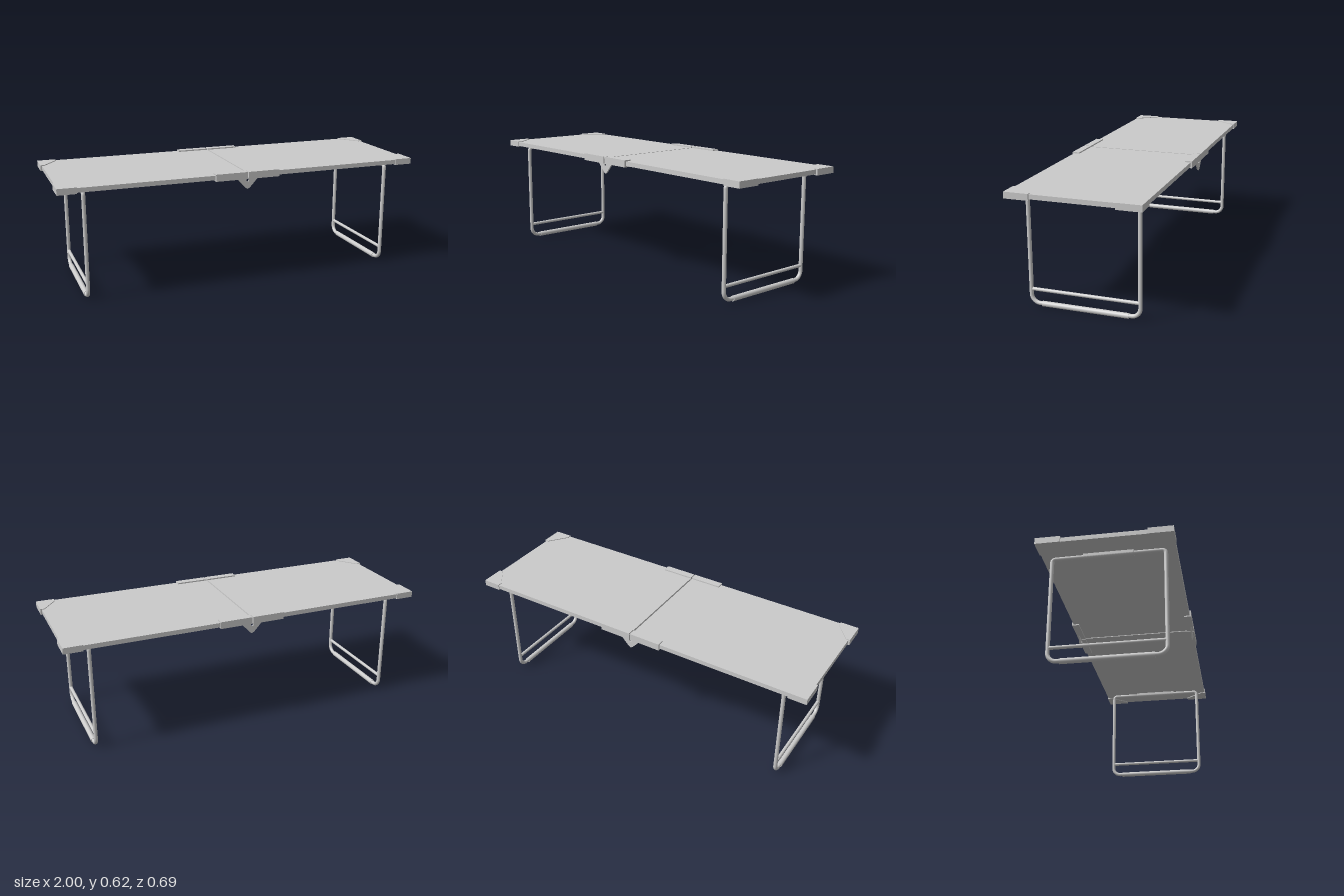
import * as THREE from 'three';

export function createModel() {
  const root = new THREE.Group();
  const mat = new THREE.MeshStandardMaterial({ color: 0xcccccc });

  const add = (name, geometry, x = 0, y = 0, z = 0, parent = root) => {
    const mesh = new THREE.Mesh(geometry, mat);
    mesh.name = name;
    mesh.position.set(x, y, z);
    parent.add(mesh);
    return mesh;
  };
  const polygon = pts => new THREE.Shape(pts.map(p => new THREE.Vector2(...p)));
  // flat plate from an x-z outline, top at y = 0
  const plate = (pts, depth) =>
    new THREE.ExtrudeGeometry(polygon(pts), { depth, bevelEnabled: false }).rotateX(Math.PI / 2);
  // rod along z
  const rod = (r, length) => new THREE.CylinderGeometry(r, r, length, 20).rotateX(Math.PI / 2);

  // closed loop in the y-z plane with rounded corners
  function legLoop(halfZ, y0, y1, rBottom, rTop) {
    const corners = [[halfZ, y0, rBottom], [halfZ, y1, rTop], [-halfZ, y1, rTop], [-halfZ, y0, rBottom]];
    const dirs = [[0, 1], [-1, 0], [0, -1], [1, 0]]; // leaving each corner
    const v = (z, y) => new THREE.Vector3(0, y, z);
    const path = new THREE.CurvePath();
    corners.forEach(([z, y, r], i) => {
      const out = dirs[i], inn = dirs[(i + 3) % 4], k = r * 0.448;
      path.add(new THREE.CubicBezierCurve3(
        v(z - inn[0] * r, y - inn[1] * r), v(z - inn[0] * k, y - inn[1] * k),
        v(z + out[0] * k, y + out[1] * k), v(z + out[0] * r, y + out[1] * r)));
      const [nz, ny, nr] = corners[(i + 1) % 4];
      path.add(new THREE.LineCurve3(v(z + out[0] * r, y + out[1] * r), v(nz - out[0] * nr, ny - out[1] * nr)));
    });
    return new THREE.TubeGeometry(path, 420, 0.0105, 16, true);
  }

  for (const s of [1, -1]) {
    const side = s > 0 ? 'left' : 'right';

    // table top half
    add(`${side}Panel`, new THREE.BoxGeometry(0.987, 0.024, 0.67), s * 0.4975, 0.603, 0);

    // folding leg frame
    const leg = new THREE.Group();
    leg.name = `${side}Leg`;
    leg.position.x = s * 0.862;
    root.add(leg);
    add('legFrame', legLoop(0.284, 0.015, 0.579, 0.045, 0.018), 0, 0, 0, leg);
    add('footSleeve', rod(0.014, 0.45), 0, 0.014, 0, leg);
    add('crossbar', rod(0.009, 0.56), 0, 0.087, 0, leg);
    // pivot clamp: rounded underside with a flat top
    const clamp = new THREE.Shape();
    clamp.moveTo(-0.013, 0.014);
    clamp.lineTo(-0.013, 0);
    clamp.absarc(0, 0, 0.013, Math.PI, Math.PI * 2, false);
    clamp.lineTo(0.013, 0.014);
    add('pivotClamp', new THREE.ExtrudeGeometry(clamp, { depth: 0.254, bevelEnabled: false, curveSegments: 16 }),
      0, 0.578, -0.127, leg);

    for (const f of [1, -1]) {
      const end = f > 0 ? 'Front' : 'Back';
      // corner cap with a slanted inner edge
      const cap = [[1, 0.339], [0.9, 0.339], [0.9, 0.315], [0.978, 0.213], [1, 0.213]];
      add(`${side}${end}CornerCap`, plate(cap.map(([x, z]) => [s * x, f * z]), 0.033), 0, 0.619, 0);

      // edge rail beside the fold
      add(`${side}${end}HingeRail`, new THREE.BoxGeometry(0.177, 0.038, 0.04), s * 0.0915, 0.603, f * 0.3235);
    }
  }

  // V-shaped hinge brackets under the fold
  for (const f of [1, -1]) {
    const v = polygon([[-0.062, 0.59], [-0.012, 0.535], [0, 0.528], [0.012, 0.535], [0.062, 0.59]]);
    const hole = new THREE.Path();
    hole.absarc(0, 0.576, 0.008, 0, Math.PI * 2, true);
    v.holes.push(hole);
    add(f > 0 ? 'frontHingeBracket' : 'backHingeBracket',
      new THREE.ExtrudeGeometry(v, { depth: 0.008, bevelEnabled: false }), 0, 0, f * 0.3315 - 0.004);
  }
  return root;
}
